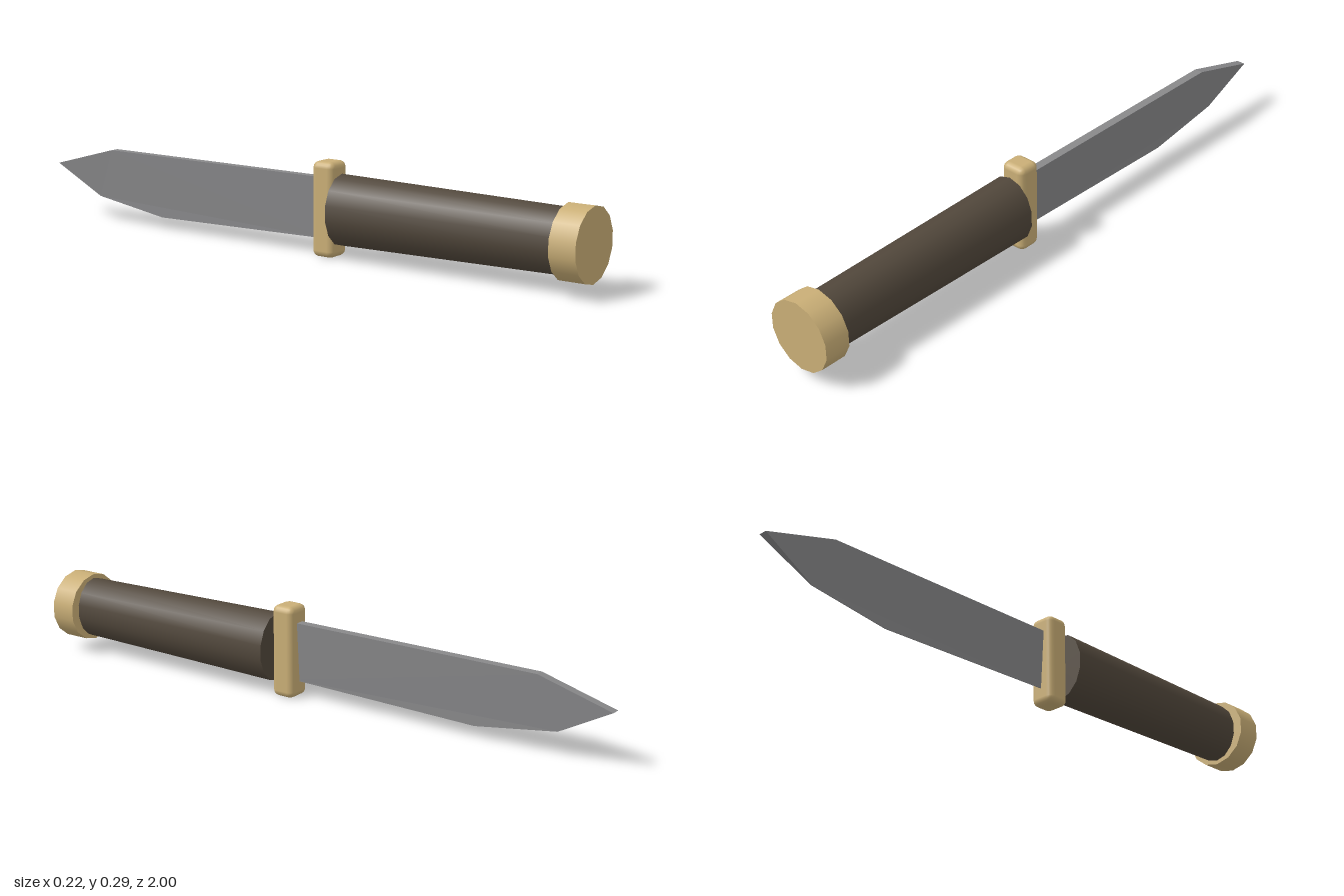
import * as THREE from 'three';
import { RoundedBoxGeometry } from 'three/addons/geometries/RoundedBoxGeometry.js';

const AXIS_Y = 0.147;

function makeMaterial(name, color) {
  const material = new THREE.MeshStandardMaterial({ color });
  material.name = name;
  return material;
}

export function createModel() {
  const brass = makeMaterial('brass', 0xc9ae76);
  const grip = makeMaterial('dark grip', 0x51473b);
  const steel = makeMaterial('steel', 0x88888a);
  const model = new THREE.Group();
  model.name = 'knife';

  const add = (name, geometry, material, y = 0, z = 0) => {
    const mesh = new THREE.Mesh(geometry, material);
    mesh.name = name;
    mesh.position.set(0, y, z);
    model.add(mesh);
  };

  // Round section running along z, from back to front
  const barrel = (frontRadius, backRadius, back, front) =>
    new THREE.CylinderGeometry(frontRadius, backRadius, front - back, 14)
      .rotateX(Math.PI / 2).translate(0, 0, (front + back) / 2);

  // Pommel and oval, tapering handle
  add('pommel', barrel(0.111, 0.111, 0.917, 1), brass, AXIS_Y);
  add('handle', barrel(0.098, 0.11, 0.157, 0.917).scale(0.81, 1, 1), grip, AXIS_Y);

  // Guard with softened edges
  add('guard', new RoundedBoxGeometry(0.084, 0.293, 0.078, 2, 0.02), brass, 0.1465, 0.111);

  // Blade outline: spine, tip, then cutting edge (distance forward of centre, height)
  const outline = new THREE.Shape([
    [-0.1, 0.241], [0.76, 0.241], [1, 0.175], [0.825, 0.079], [0.555, 0.038], [-0.1, 0.051],
  ].map(([x, y]) => new THREE.Vector2(x, y)));
  const width = 0.028;
  const blade = new THREE.ExtrudeGeometry(outline, { depth: width, bevelEnabled: false })
    .translate(0, 0, -width / 2).rotateY(Math.PI / 2);

  // Thin the cutting edge, leaving the spine and tip at full width
  const p = blade.attributes.position;
  for (let i = 0; i < p.count; i++) if (p.getY(i) < 0.1) p.setX(i, p.getX(i) * 0.1);
  blade.computeVertexNormals();
  add('blade', blade, steel);

  return model;
}
